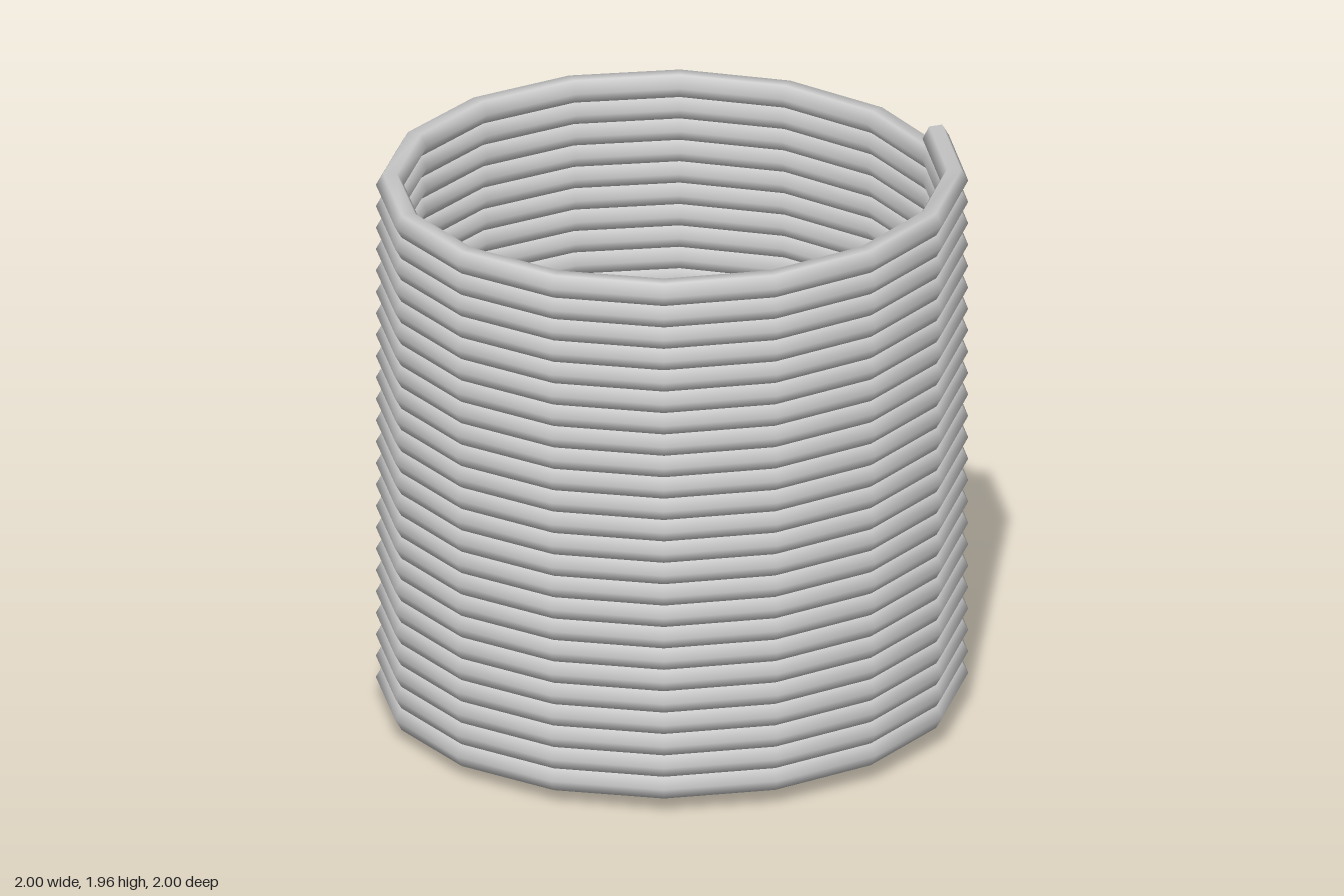
import * as THREE from 'three';

const TURNS = 24, STEPS = 16, SIDES = 6;
const RADIUS = 0.9525, WIRE = 0.0475, PITCH = 0.0784;
const BASE = WIRE * Math.sin(Math.PI / 3); // lowest hexagon edge rests on y = 0

// Hexagonal wire swept along a rising helix, one ring of corners per step
function coilGeometry() {
  const positions = [], indices = [];
  const rings = TURNS * STEPS;
  for (let i = 0; i <= rings; i++) {
    const t = (i / STEPS) * Math.PI * 2;
    const y = BASE + (i / STEPS) * PITCH;
    for (let j = 0; j < SIDES; j++) {
      const a = (j / SIDES) * Math.PI * 2;
      const rho = RADIUS + WIRE * Math.cos(a);
      positions.push(rho * Math.cos(t), y + WIRE * Math.sin(a), -rho * Math.sin(t));
      if (i < rings) {
        const p = i * SIDES + j, q = i * SIDES + (j + 1) % SIDES;
        indices.push(p, p + SIDES, q, q, p + SIDES, q + SIDES);
      }
    }
  }
  const geometry = new THREE.BufferGeometry();
  geometry.setAttribute('position', new THREE.Float32BufferAttribute(positions, 3));
  geometry.setIndex(indices);
  geometry.computeVertexNormals();
  return geometry;
}

export function createModel() {
  const group = new THREE.Group();
  group.name = 'coilSpring';
  const material = new THREE.MeshStandardMaterial({ color: 0xcccccc });

  const coil = new THREE.Mesh(coilGeometry(), material);
  coil.name = 'coil';
  group.add(coil);

  // Flat hexagonal ends of the wire
  const addCap = (name, y, turn) => {
    const cap = new THREE.Mesh(new THREE.CircleGeometry(WIRE, SIDES), material);
    cap.name = name;
    cap.position.set(RADIUS, y, 0);
    cap.rotation.y = turn;
    group.add(cap);
  };
  addCap('lowerWireEnd', BASE, 0);
  addCap('upperWireEnd', BASE + TURNS * PITCH, Math.PI);

  return group;
}
